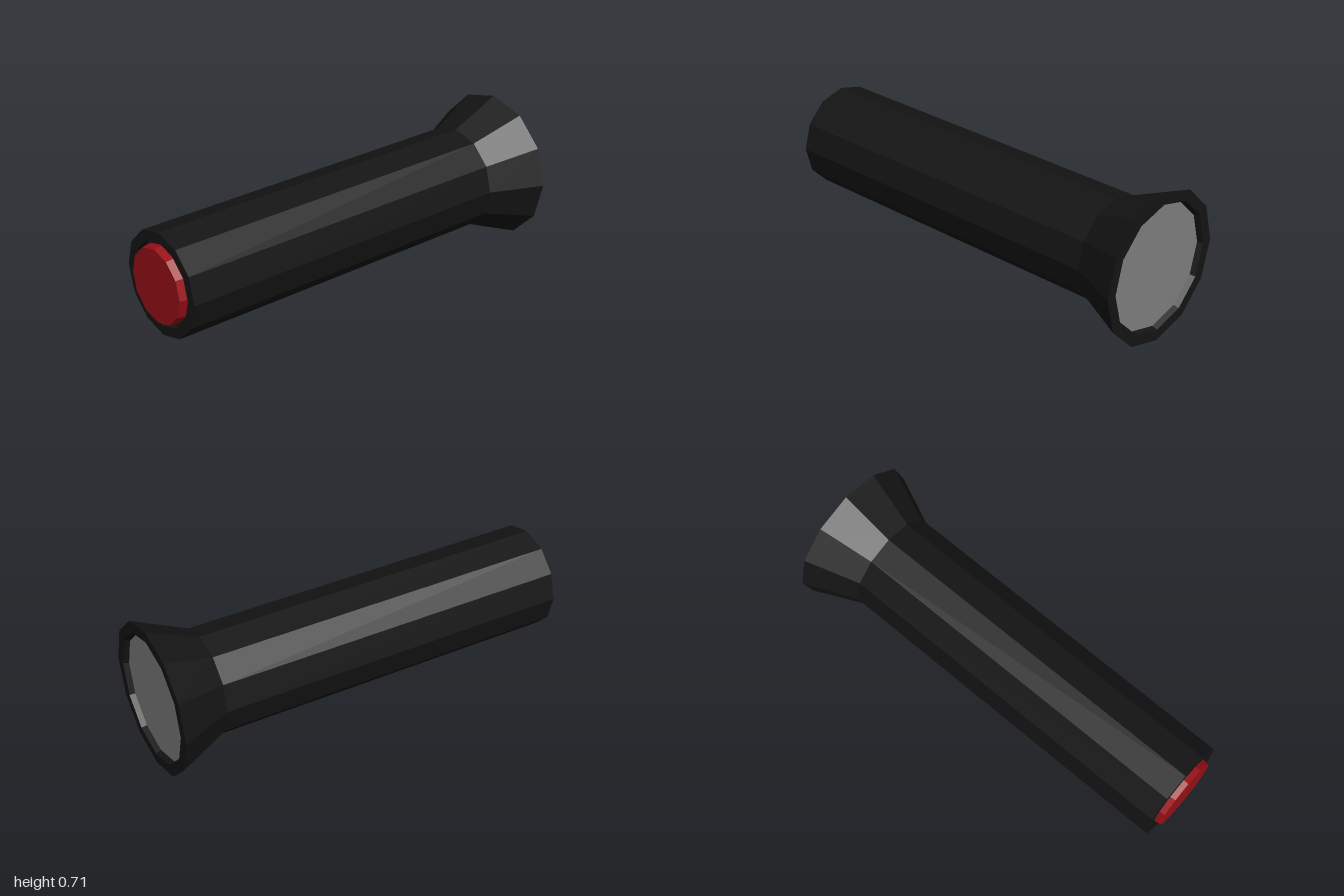
import * as THREE from 'three';

const SIDES = 12;
const AXIS_Y = 0.357;

// Turns a [radius, x] profile around the long axis, ordered from the tail to the front.
function turned(name, color, profile) {
  const points = profile.map(([r, x]) => new THREE.Vector2(r, x));
  const geometry = new THREE.LatheGeometry(points, SIDES);
  geometry.rotateZ(-Math.PI / 2);
  const material = new THREE.MeshStandardMaterial({ color, flatShading: true });
  const mesh = new THREE.Mesh(geometry, material);
  mesh.name = name;
  mesh.position.y = AXIS_Y;
  return mesh;
}

export function createModel() {
  const group = new THREE.Group();
  group.name = 'flashlight';

  // Barrel with a shallow tail recess, flaring into the head and its recessed mouth
  group.add(turned('casing', 0x141414, [
    [0, -0.955], [0.195, -0.955], [0.2, -0.975], [0.247, -0.975],
    [0.247, 0.75], [0.357, 1],
    [0.305, 1], [0.295, 0.975],
  ]));

  // Flat lens set back inside the mouth
  group.add(turned('lens', 0x808080, [[0.295, 0.975], [0, 0.975]]));

  // Push button standing out of the tail recess
  group.add(turned('tailButton', 0x990f16, [
    [0, -1], [0.176, -1], [0.183, -0.955],
  ]));

  return group;
}
